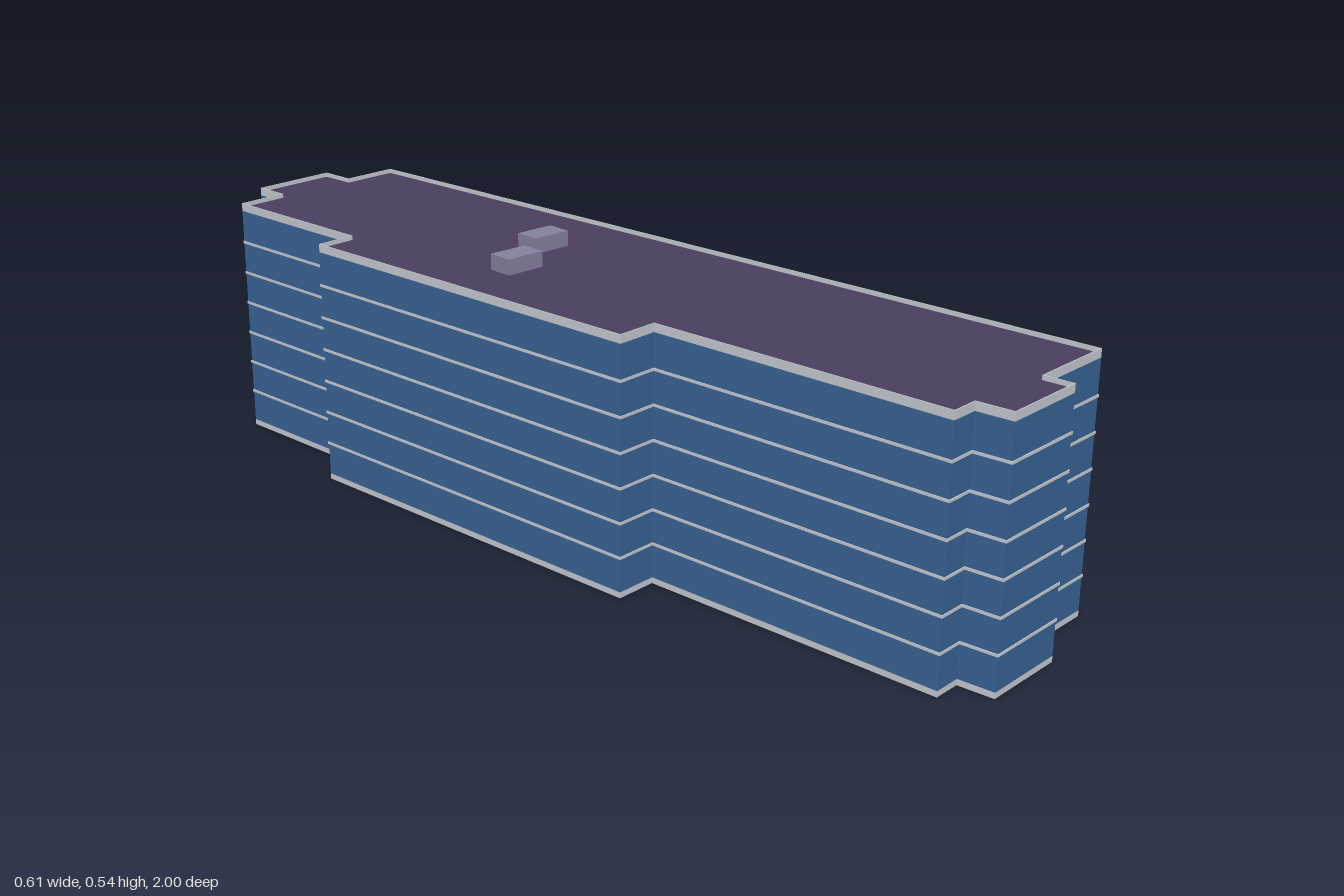
import * as THREE from 'three';

const material = (name, color) => {
  const m = new THREE.MeshStandardMaterial({ color });
  m.name = name;
  return m;
};

// Outline of the block as [x, z], running clockwise seen from above
const footprint = [
  [-0.138, -0.987], [0.05, -1], [0.055, -0.922], [0.178, -0.929],
  [0.304, 0.915], [0.119, 0.927], [0.124, 0.986], [-0.055, 0.998],
  [-0.063, 0.925], [-0.121, 0.929], [-0.163, 0.292], [-0.251, 0.298],
  [-0.305, -0.53], [-0.221, -0.536], [-0.242, -0.904], [-0.133, -0.912],
].map(([x, z]) => new THREE.Vector2(x, z));

// Outline moved outward (or inward when negative) with mitred corners
function offset(d) {
  const n = footprint.length;
  const normal = (a, b) => new THREE.Vector2(b.y - a.y, a.x - b.x).normalize();
  return footprint.map((p, i) => {
    const n1 = normal(footprint[(i + n - 1) % n], p);
    const n2 = normal(p, footprint[(i + 1) % n]);
    const k = d / (1 + n1.dot(n2));
    return n1.add(n2).multiplyScalar(k).add(p);
  });
}

// Plan points turned into counter-clockwise shape points
const toShape = (points) => points.map((p) => new THREE.Vector2(p.x, -p.y)).reverse();

// Upright slab from y0 to y1; a ring when an inner offset is given
function slab(outer, inner, y0, y1) {
  const shape = new THREE.Shape(toShape(offset(outer)));
  if (inner !== null) shape.holes.push(new THREE.Path(toShape(offset(inner))));
  const g = new THREE.ExtrudeGeometry(shape, { depth: y1 - y0, bevelEnabled: false });
  return g.rotateX(-Math.PI / 2).translate(0, y0, 0);
}

export function createModel() {
  const model = new THREE.Group();
  model.name = 'officeBlock';

  const glass = material('blueGlass', 0x3a6597);
  const concrete = material('paleConcrete', 0xc9ccd4);
  concrete.side = THREE.DoubleSide;
  const roofing = material('purpleRoofing', 0x4a3f60);
  const metal = material('roofUnitGrey', 0x8782a0);

  const add = (name, geometry, mat) => {
    const mesh = new THREE.Mesh(geometry, mat);
    mesh.name = name;
    model.add(mesh);
    return mesh;
  };

  // Walls: plinth, glazing, parapet and the pale inside lining, open below
  add('plinth', slab(0, -0.002, 0, 0.012), concrete);
  add('glazing', slab(0, -0.002, 0.012, 0.495), glass);
  add('parapet', slab(0, -0.002, 0.495, 0.512), concrete);
  add('innerLining', slab(-0.002, -0.004, 0, 0.496), concrete);

  // Thin floor bands standing slightly proud of the glass
  for (let i = 0; i < 6; i++) {
    const y = 0.081 + i * 0.0688;
    add('floorBand' + (i + 1), slab(0.0016, -0.001, y - 0.0027, y + 0.0027), concrete);
  }

  // Roof deck with a pale ceiling beneath it
  add('ceiling', slab(-0.002, null, 0.496, 0.499), concrete);
  add('roofDeck', slab(-0.002, null, 0.499, 0.503), roofing);

  // Two rooftop units
  [[-0.103, -0.153], [0.031, -0.228]].forEach(([x, z], i) => {
    const unit = add('roofUnit' + (i + 1), new THREE.BoxGeometry(0.086, 0.033, 0.054), metal);
    unit.position.set(x, 0.5185, z);
  });

  return model;
}
